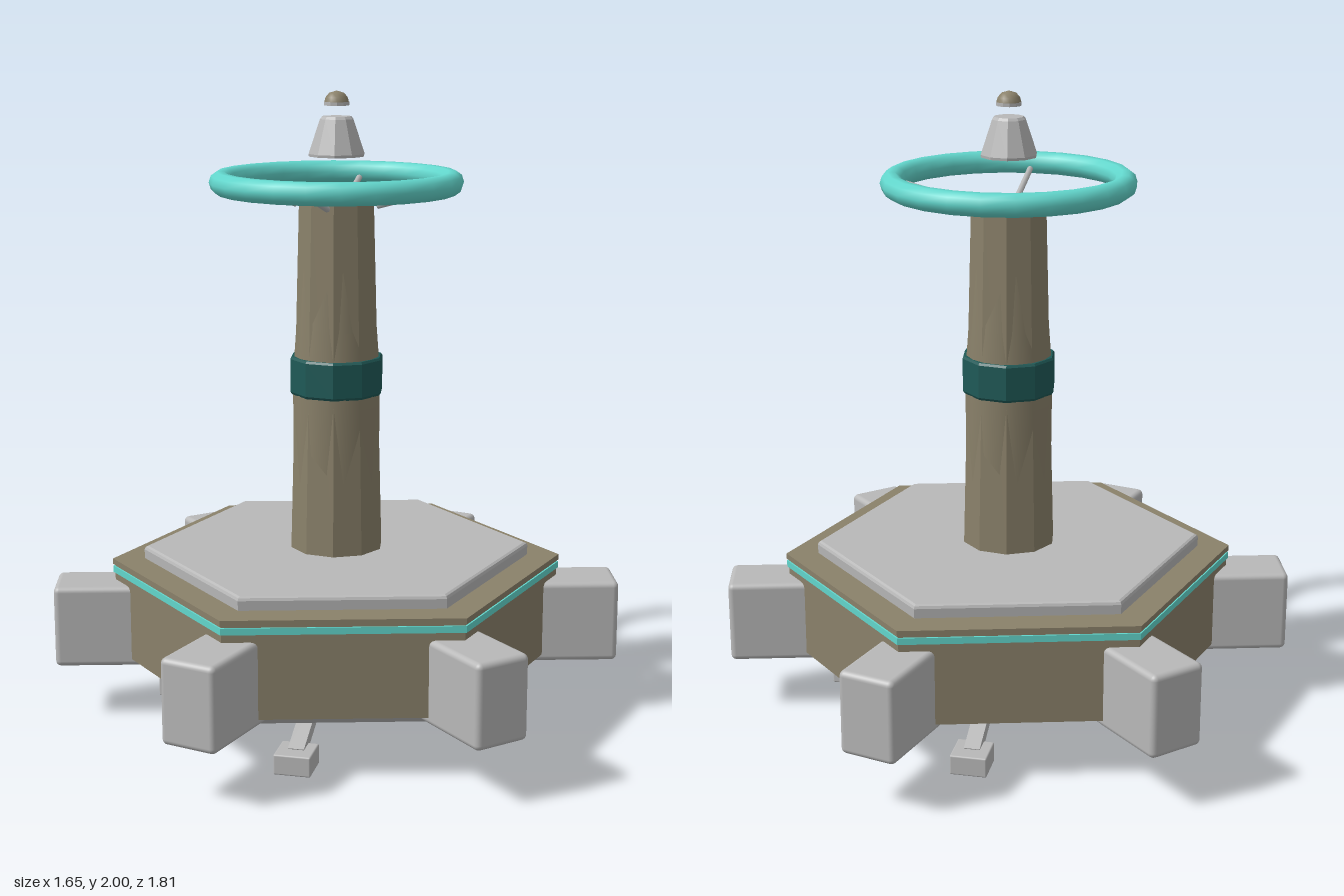
import * as THREE from 'three';
import { RoundedBoxGeometry } from 'three/addons/geometries/RoundedBoxGeometry.js';

const mat = (name, color) => {
  const m = new THREE.MeshStandardMaterial({ color });
  m.name = name;
  return m;
};

export function createModel() {
  const model = new THREE.Group();
  model.name = 'hexStation';
  const grey = mat('lightGrey', 0xb8b8b8);
  const olive = mat('olive', 0x8a816a);
  const teal = mat('darkTeal', 0x1f5a57);
  const aqua = mat('aqua', 0x62d6cc);

  const add = (name, geometry, material, parent = model) => {
    const mesh = new THREE.Mesh(geometry, material);
    mesh.name = name;
    parent.add(mesh);
    return mesh;
  };

  // Turned solid from [radius, height] points, bottom to top; corners on +z
  const turned = (profile, sides, smooth = false) => {
    const lathe = new THREE.LatheGeometry(profile.map(([r, y]) => new THREE.Vector2(r, y)), sides);
    if (smooth) return lathe;
    const flat = lathe.toNonIndexed();
    flat.computeVertexNormals();
    return flat;
  };
  const prism = (r, y0, y1) => [[0, y0], [r, y0], [r, y1], [0, y1]];

  // Hexagonal hull
  add('underside', turned([[0, 0.12], [0.52, 0.12], [0.65, 0.2], [0, 0.2]], 6), grey);
  add('hull', turned(prism(0.715, 0.2, 0.492), 6), olive);
  add('hullStripe', turned(prism(0.721, 0.465, 0.486), 6), aqua);
  add('rim', turned(prism(0.722, 0.492, 0.51), 6), olive);
  add('deckPlate', turned([[0, 0.5], [0.618, 0.5], [0.62, 0.54], [0.616, 0.548], [0.608, 0.552], [0, 0.552]], 6), grey);

  // Blocks at the six corners
  for (let i = 0; i < 6; i++) {
    const corner = new THREE.Group();
    corner.name = 'cornerBlock' + (i + 1);
    corner.rotation.y = i * Math.PI / 3;
    model.add(corner);
    add('block', new RoundedBoxGeometry(0.184, 0.265, 0.3, 3, 0.018), grey, corner).position.set(0, 0.308, 0.757);
  }

  // Four diagonal feet and the wheel spokes above them
  const rod = (name, geometry, from, to, parent) => {
    const mesh = add(name, geometry, grey, parent);
    mesh.position.copy(from).add(to).multiplyScalar(0.5);
    mesh.rotation.x = Math.atan2(to.z - from.z, to.y - from.y);
    return mesh;
  };
  const at = (y, z) => new THREE.Vector3(0, y, z);
  for (let i = 0; i < 4; i++) {
    const arm = new THREE.Group();
    arm.name = 'diagonal' + (i + 1);
    arm.rotation.y = Math.PI / 4 + i * Math.PI / 2;
    model.add(arm);
    add('footPad', new RoundedBoxGeometry(0.115, 0.064, 0.115, 2, 0.005), grey, arm).position.set(0, 0.032, 0.537);
    rod('leg', new THREE.BoxGeometry(0.05, 0.27, 0.04), at(0.15, 0.29), at(0.05, 0.53), arm);
    rod('spoke', new THREE.CylinderGeometry(0.01, 0.01, 0.215, 8), at(1.65, 0.13), at(1.705, 0.335), arm);
  }

  // Tapered column with a smooth swelling and a collar
  add('column', turned([[0, 0.54], [0.15, 0.54], [0.12, 1.66], [0, 1.66]], 10), olive);
  add('columnSwelling', turned([[0.13, 0.6], [0.137, 0.78], [0.1385, 0.92], [0.1395, 1.06], [0.137, 1.15],
    [0.128, 1.27], [0.12, 1.45], [0.11, 1.58]], 16, true), olive);
  add('collar', turned([[0, 1.055], [0.145, 1.055], [0.15, 1.063], [0.15, 1.168], [0.145, 1.175], [0, 1.175]], 10), teal);

  // Wheel ring
  const ring = add('wheelRing', new THREE.TorusGeometry(0.36, 0.036, 10, 24), aqua);
  ring.rotation.x = Math.PI / 2;
  ring.position.y = 1.72;

  // Floating beacon
  add('beaconCone', turned([[0, 1.8], [0.088, 1.8], [0.089, 1.808], [0.053, 1.914], [0.046, 1.922], [0, 1.922]], 10), grey);
  add('beaconTipBase', turned(prism(0.039, 1.955, 1.966), 12), grey);
  add('beaconTip', turned([[0.038, 1.966], [0.034, 1.98], [0.023, 1.993], [0, 2]], 12, true), olive);

  return model;
}
